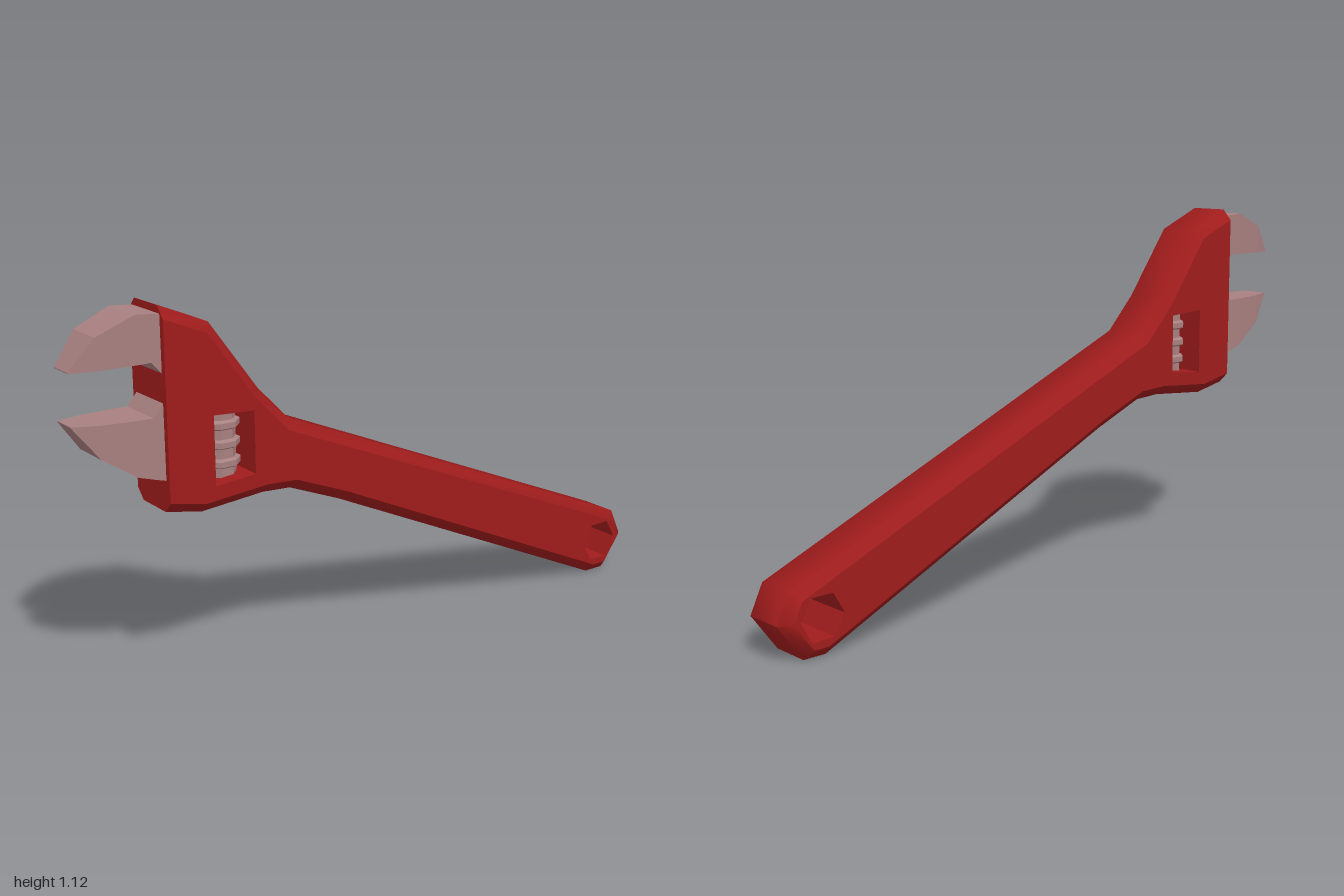
import * as THREE from 'three';
import { mergeGeometries, toCreasedNormals } from 'three/addons/utils/BufferGeometryUtils.js';

const RED = new THREE.MeshStandardMaterial({ color: 0xa01c1c });
const STEEL = new THREE.MeshStandardMaterial({ color: 0xa88080 });

function toGeometry(points) {
  const g = new THREE.BufferGeometry().setFromPoints(points);
  g.computeVertexNormals();
  return g;
}

// Joins successive closed rings of points with quads
function bridge(rings) {
  const out = [];
  for (let k = 0; k + 1 < rings.length; k++) {
    const lo = rings[k], hi = rings[k + 1], n = lo.length;
    for (let i = 0; i < n; i++) {
      const j = (i + 1) % n;
      out.push(lo[i], lo[j], hi[j], lo[i], hi[j], hi[i]);
    }
  }
  return out;
}

// Moves each edge of a counterclockwise outline inward by its own distance
function inset(pts, distance) {
  const lines = pts.map((p, i) => {
    const q = pts[(i + 1) % pts.length];
    const n = new THREE.Vector2(p.y - q.y, q.x - p.x).normalize();
    return { n, c: n.dot(p) + distance(i) };
  });
  return pts.map((_, i) => {
    const a = lines[(i + pts.length - 1) % pts.length], b = lines[i];
    const det = a.n.cross(b.n);
    return new THREE.Vector2((a.c * b.n.y - b.c * a.n.y) / det, (a.n.x * b.c - b.n.x * a.c) / det);
  });
}

const vec2 = (list) => list.map(([x, y]) => new THREE.Vector2(x, y));
const atZ = (pts, z) => pts.map((p) => new THREE.Vector3(p.x, p.y, z));

// Handle and head in one chamfered plate, flat where the jaws meet it
function bodyGeometry() {
  const half = 0.092, bevel = 0.03;
  const outline = vec2([
    [-0.75, 0.55], [-0.64, 0.528], [-0.44, 0.545], [-0.35, 0.54], [-0.18, 0.472], [0.85, 0], [0.92, 0],
    [1, 0.11], [0.96, 0.195], [-0.35, 0.745], [-0.45, 0.85], [-0.6, 1.055], [-0.75, 1.117],
  ]);
  const face = inset(outline, (i) => (i === outline.length - 1 ? 0 : bevel));
  // Holes run clockwise so that their walls face inward
  const slot = vec2([[-0.608, 0.602], [-0.608, 0.803], [-0.48, 0.796], [-0.48, 0.614]]);
  const hex = vec2([[0.804, 0.112], [0.84, 0.175], [0.91, 0.175], [0.945, 0.115], [0.91, 0.05], [0.84, 0.054]]);

  const rim = bridge([
    atZ(face, -half), atZ(outline, bevel - half), atZ(outline, half - bevel), atZ(face, half),
  ]);
  const flat = [];
  for (const hole of [slot, hex]) flat.push(...bridge([atZ(hole, -half), atZ(hole, half)]));

  const all = [...face, ...slot, ...hex];
  const front = atZ(all, half), back = atZ(all, -half);
  for (const [a, b, c] of THREE.ShapeUtils.triangulateShape(face, [slot, hex])) {
    flat.push(front[a], front[b], front[c], back[a], back[c], back[b]);
  }
  const rimGeometry = toCreasedNormals(toGeometry(rim), 0.9);
  return mergeGeometries([rimGeometry, toGeometry(flat)]);
}

// Jaw from stations [x, low y, high y, half thickness], tip first
function jawGeometry(stations) {
  const rings = stations.map(([x, lo, hi, z]) => [
    new THREE.Vector3(x, lo, -z), new THREE.Vector3(x, hi, -z),
    new THREE.Vector3(x, hi, z), new THREE.Vector3(x, lo, z),
  ]);
  const [a, b, c, d] = rings[0];
  return toGeometry([...bridge(rings), a, c, b, a, d, c]);
}

// Adjusting screw: a faceted core with three raised rings
function screwGeometry() {
  const profile = [[0, 0.6], [0.05, 0.6]];
  for (const y of [0.645, 0.7, 0.755]) {
    profile.push([0.05, y - 0.014], [0.062, y - 0.008], [0.062, y + 0.008], [0.05, y + 0.014]);
  }
  profile.push([0.05, 0.802], [0, 0.802]);
  const g = new THREE.LatheGeometry(vec2(profile), 8, Math.PI / 8).toNonIndexed();
  g.computeVertexNormals();
  return g;
}

export function createModel() {
  const group = new THREE.Group();
  group.name = 'adjustableWrench';
  const add = (name, geometry, material) => {
    const mesh = new THREE.Mesh(geometry, material);
    mesh.name = name;
    group.add(mesh);
    return mesh;
  };

  add('handleAndHead', bodyGeometry(), RED);
  add('upperJaw', jawGeometry([
    [-1, 0.966, 0.969, 0.04], [-0.93, 0.967, 1.055, 0.062], [-0.82, 0.969, 1.102, 0.073],
    [-0.78, 0.97, 1.099, 0.074], [-0.745, 0.932, 1.096, 0.074],
  ]), STEEL);
  add('lowerJaw', jawGeometry([
    [-1, 0.822, 0.825, 0.04], [-0.93, 0.73, 0.823, 0.062], [-0.83, 0.665, 0.821, 0.073],
    [-0.78, 0.65, 0.82, 0.074], [-0.745, 0.64, 0.862, 0.074],
  ]), STEEL);
  add('adjustingScrew', screwGeometry(), STEEL).position.x = -0.544;
  return group;
}
